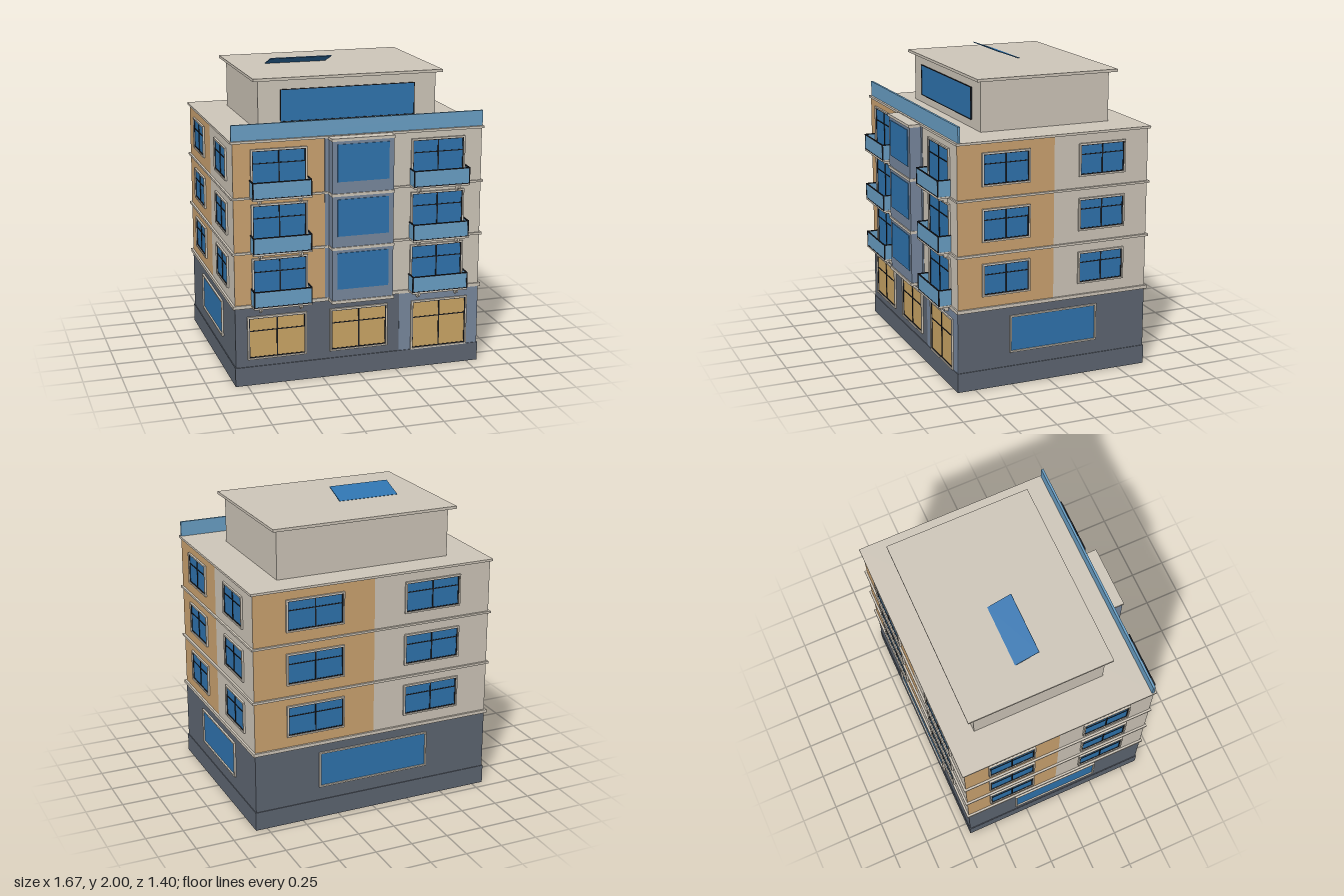
import * as THREE from 'three';

const mat = (name, color) => Object.assign(new THREE.MeshStandardMaterial({ color }), { name });
const beige = mat('beige plaster', 0xcfc7ba);
const tan = mat('tan plaster', 0xcda471);
const dark = mat('dark stone', 0x5e6672);
const slate = mat('slate blue cladding', 0x78889e);
const glass = mat('blue glass', 0x2f74af);
const pale = mat('pale blue glass', 0x6aa0c6);
const amber = mat('amber glass', 0xcba666);
const black = mat('black metal', 0x1b1e24);

// Outer wall planes of the building
const X = 0.822, ZF = 0.612, ZB = -0.688, ZM = -0.036;
// Bottom of each upper storey, and of the cornice above it
const floors = [0.54, 0.89, 1.243];

// Box given by its limits on each axis
function box(parent, name, material, x0, x1, y0, y1, z0, z1) {
  const mesh = new THREE.Mesh(new THREE.BoxGeometry(x1 - x0, y1 - y0, z1 - z0), material);
  mesh.position.set((x0 + x1) / 2, (y0 + y1) / 2, (z0 + z1) / 2);
  mesh.name = name;
  parent.add(mesh);
  return mesh;
}

function group(parent, name) {
  const g = new THREE.Group();
  g.name = name;
  parent.add(g);
  return g;
}

// A wall's own frame: x along the wall, z outwards
function wall(parent, name, angle, x, z) {
  const g = group(parent, name);
  g.rotation.y = angle;
  g.position.set(x, 0, z);
  return g;
}

// Four bars around an opening
function border(parent, name, material, x0, x1, y0, y1, w, depth) {
  box(parent, name, material, x0, x0 + w, y0, y1, 0, depth);
  box(parent, name, material, x1 - w, x1, y0, y1, 0, depth);
  box(parent, name, material, x0 + w, x1 - w, y0, y0 + w, 0, depth);
  box(parent, name, material, x0 + w, x1 - w, y1 - w, y1, 0, depth);
}

// Framed window; bar is the height of the crossbar, or null for a plain pane
function windowUnit(parent, name, x0, x1, y0, y1, pane, bar) {
  const g = group(parent, name), t = 0.01;
  border(g, 'surround', beige, x0, x1, y0, y1, t, 0.013);
  box(g, 'pane', pane, x0 + t, x1 - t, y0 + t, y1 - t, 0, 0.003);
  if (bar === null) return;
  border(g, 'sash', black, x0 + t, x1 - t, y0 + t, y1 - t, 0.006, 0.007);
  const c = (x0 + x1) / 2;
  box(g, 'mullion', black, c - 0.004, c + 0.004, y0 + t, y1 - t, 0, 0.007);
  box(g, 'crossbar', black, x0 + t, x1 - t, bar - 0.003, bar + 0.003, 0, 0.0065);
}

function balcony(parent, cx, y) {
  const g = group(parent, 'balcony');
  g.position.set(cx, y, 0);
  const w = 0.19, d = 0.086, h = 0.11, r = 0.004;
  box(g, 'balconySlab', beige, -w, w, -0.008, 0.004, 0, d);
  box(g, 'frontPanel', pale, -w + r, w - r, 0.004, h - r, d - 0.006, d - 0.002);
  box(g, 'frontRail', black, -w, w, h - 0.007, h, d - 0.008, d);
  box(g, 'bottomRail', black, -w, w, 0.002, 0.008, d - 0.008, d);
  for (const s of [-1, 1]) {
    const x = s * (w - r);
    box(g, 'sidePanel', pale, x - 0.002, x + 0.002, 0.004, h - r, 0, d - 0.006);
    box(g, 'sideRail', black, x - r, x + r, h - 0.007, h, 0, d - 0.008);
    box(g, 'post', black, x - r, x + r, 0.004, h, d - 0.008, d);
    // stepped bracket below the slab
    box(g, 'bracket', beige, s * 0.132 - 0.006, s * 0.132 + 0.006, -0.034, -0.008, 0, 0.058);
    box(g, 'bracketFoot', beige, s * 0.132 - 0.005, s * 0.132 + 0.005, -0.05, -0.034, 0, 0.028);
  }
}

export function createModel() {
  const model = new THREE.Group();
  model.name = 'apartmentBuilding';

  // Ground storey and plinth
  box(model, 'groundStorey', dark, -X, X, 0.1, 0.52, ZB, ZF);
  box(model, 'plinth', dark, -X - 0.005, X + 0.005, 0, 0.125, ZB - 0.005, ZF + 0.006);

  // Upper storeys in quarters, each with one tan wall; material order +x -x +y -y +z -z
  const b = beige, t = tan;
  box(model, 'upperFrontLeft', [t, b, b, b, b, b], 0, X, 0.52, 1.59, ZM, ZF);
  box(model, 'upperBackLeft', [b, b, b, b, b, t], 0, X, 0.52, 1.59, ZB, ZM);
  box(model, 'upperBackRight', [b, t, b, b, b, b], -X, 0, 0.52, 1.59, ZB, ZM);
  box(model, 'upperFrontRight', [b, b, b, b, t, b], -X, 0, 0.52, 1.59, ZM, ZF);

  // Cornices between storeys
  for (const [y0, y1] of [[0.52, 0.542], [0.875, 0.89], [1.23, 1.243], [1.585, 1.6]]) {
    box(model, 'cornice', beige, -X - 0.014, X + 0.014, y0, y1, ZB - 0.014, ZF + 0.01);
  }

  // Front wall
  const front = wall(model, 'frontWall', 0, 0, ZF);
  box(front, 'entrancePanel', slate, 0.272, X, 0.125, 0.52, 0, 0.002);
  windowUnit(front, 'shopWindow', -0.745, -0.355, 0.175, 0.462, amber, 0.365);
  windowUnit(front, 'shopWindow', -0.2, 0.19, 0.175, 0.462, amber, 0.365);
  windowUnit(front, 'entranceDoor', 0.353, 0.743, 0.125, 0.462, amber, 0.345);
  floors.forEach((y, i) => {
    const top = [0.845, 1.195, 1.545][i];
    for (const cx of [-0.528, 0.523]) {
      windowUnit(front, 'balconyWindow', cx - 0.182, cx + 0.182, y, top, glass, top - 0.092);
      balcony(front, cx, y);
    }
    // projecting bay
    const bay = group(front, 'bay'), yt = y + 0.335;
    box(bay, 'bayBacking', slate, -0.232, 0.224, y, yt + 0.008, 0, 0.003);
    box(bay, 'bayBody', slate, -0.205, 0.2, y, yt, 0, 0.079);
    box(bay, 'bayPane', glass, -0.172, 0.167, y + 0.075, y + 0.315, 0.079, 0.084);
    box(bay, 'bayCap', beige, -0.21, 0.205, yt, yt + 0.018, 0, 0.086);
  });
  box(front, 'bayBase', beige, -0.21, 0.205, 0.52, 0.54, 0, 0.086);

  // Side and back walls: centres of the paired windows and their half width
  const others = [
    ['leftWall', Math.PI / 2, X, 0, [-0.29, 0.365], 0.161, [-0.265, 0.338]],
    ['rightWall', -Math.PI / 2, -X, 0, [0.29, -0.365], 0.161, [-0.338, 0.265]],
    ['backWall', Math.PI, 0, ZB, [-0.408, 0.408], 0.197, [-0.385, 0.385]],
  ];
  for (const [name, angle, x, z, centres, half, [g0, g1]] of others) {
    const w = wall(model, name, angle, x, z);
    windowUnit(w, 'groundWindow', g0, g1, 0.218, 0.462, glass, null);
    for (const y of [0.612, 0.963, 1.316]) {
      for (const c of centres) windowUnit(w, 'window', c - half, c + half, y, y + 0.212, glass, y + 0.14);
    }
  }

  // Glass parapet along the front of the roof
  box(model, 'parapet', pale, -0.828, 0.828, 1.6, 1.7, 0.592, 0.607);

  // Penthouse with its roof slab and long window
  box(model, 'penthouse', beige, -0.595, 0.592, 1.6, 1.922, -0.52, 0.362);
  box(model, 'penthouseRoof', beige, -0.633, 0.63, 1.922, 1.94, -0.566, 0.398);
  const pent = wall(model, 'penthouseWindow', 0, 0, 0.362);
  box(pent, 'pane', glass, -0.447, 0.444, 1.655, 1.857, 0, 0.006);
  border(pent, 'frame', black, -0.45, 0.447, 1.652, 1.86, 0.004, 0.009);

  // Tilted solar panel, high edge to the front
  const panel = new THREE.Mesh(new THREE.BoxGeometry(0.414, 0.006, 0.17), glass);
  panel.name = 'solarPanel';
  panel.position.set(-0.208, 1.968, -0.08);
  panel.rotation.x = -Math.atan2(0.058, 0.16);
  model.add(panel);

  return model;
}
